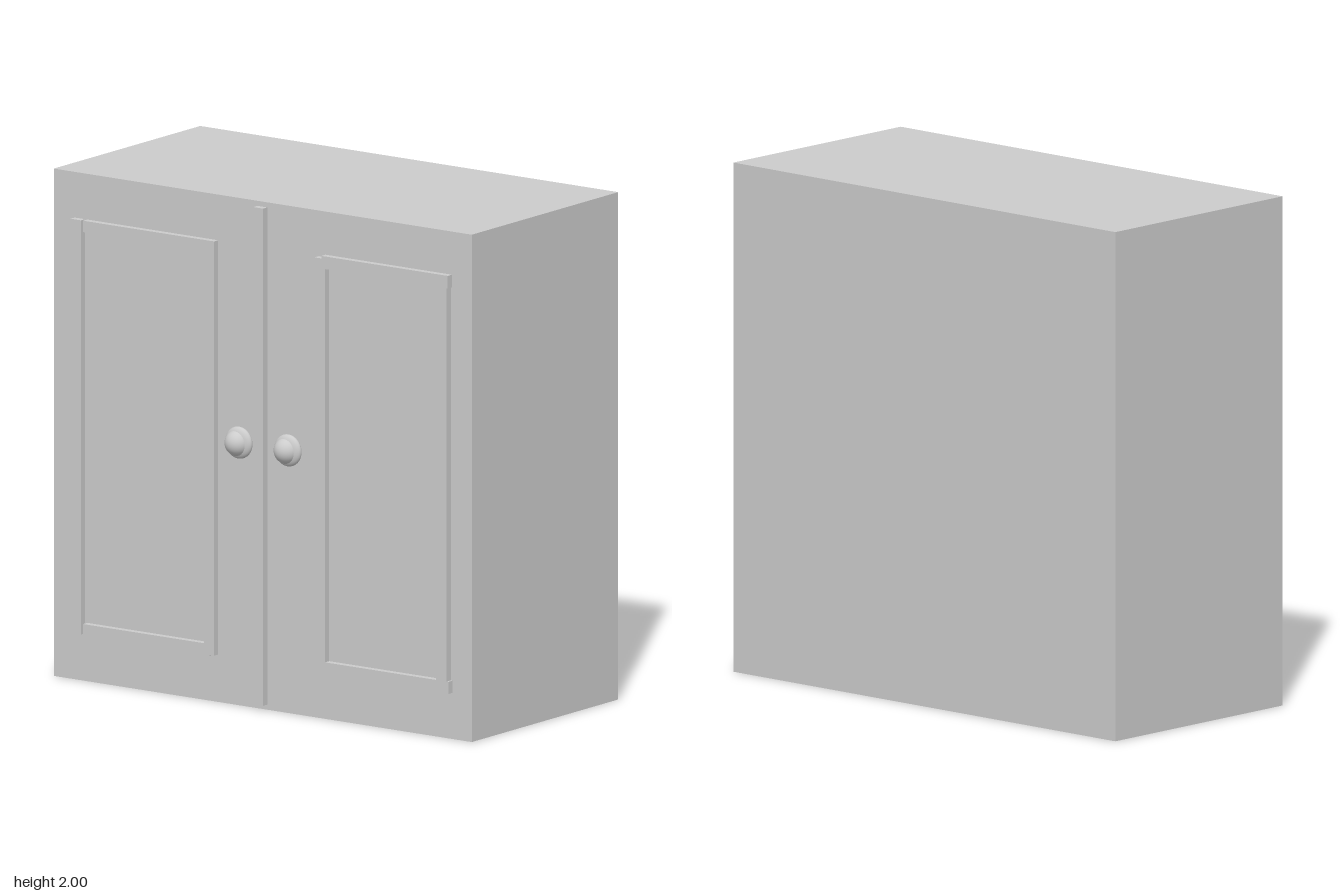
import * as THREE from 'three';

const BACK = -0.505, FACE = 0.445, TRIM = 0.472;

export function createModel() {
  const cabinet = new THREE.Group();
  cabinet.name = 'cabinet';
  const material = new THREE.MeshStandardMaterial({ color: 0xcccccc });

  // Box given by its edges
  function slab(parent, name, x0, x1, y0, y1, z0 = FACE - 0.005, z1 = TRIM) {
    const mesh = new THREE.Mesh(new THREE.BoxGeometry(x1 - x0, y1 - y0, z1 - z0), material);
    mesh.position.set((x0 + x1) / 2, (y0 + y1) / 2, (z0 + z1) / 2);
    mesh.name = name;
    parent.add(mesh);
  }

  function group(name) {
    const g = new THREE.Group();
    g.name = name;
    cabinet.add(g);
    return g;
  }

  // Carcass and the strip between the doors
  slab(cabinet, 'body', -1, 1, 0, 2, BACK, FACE);
  slab(cabinet, 'centreStrip', -0.025, 0.022, 0.02, 1.98);

  // Moulding on the right door: its outer upright stands slightly apart
  const right = group('rightDoorMoulding');
  slab(right, 'outerUpright', -0.9, -0.85, 0.187, 1.82);
  slab(right, 'innerUpright', -0.262, -0.213, 0.187, 1.82);
  slab(right, 'topRail', -0.84, -0.262, 1.775, 1.82);
  slab(right, 'bottomRail', -0.84, -0.235, 0.182, 0.23);

  // Moulding on the left door: rails overhang the uprights slightly
  const left = group('leftDoorMoulding');
  slab(left, 'innerUpright', 0.268, 0.318, 0.187, 1.82);
  slab(left, 'outerUpright', 0.85, 0.9, 0.23, 1.78);
  slab(left, 'topRail', 0.3, 0.905, 1.78, 1.83);
  slab(left, 'bottomRail', 0.3, 0.908, 0.182, 0.23);

  // Knobs: flattened round base with a dome set slightly off centre
  for (const [name, x] of [['rightKnob', -0.107], ['leftKnob', 0.128]]) {
    const knob = group(name);
    knob.position.set(x, 1.038, 0.455);
    const base = new THREE.Mesh(new THREE.SphereGeometry(0.063, 32, 20), material);
    base.name = 'knobBase';
    base.scale.z = 0.4;
    const dome = new THREE.Mesh(new THREE.SphereGeometry(0.052, 32, 20), material);
    dome.name = 'knobDome';
    dome.position.set(-0.006, -0.002, -0.002);
    knob.add(base, dome);
  }
  return cabinet;
}
